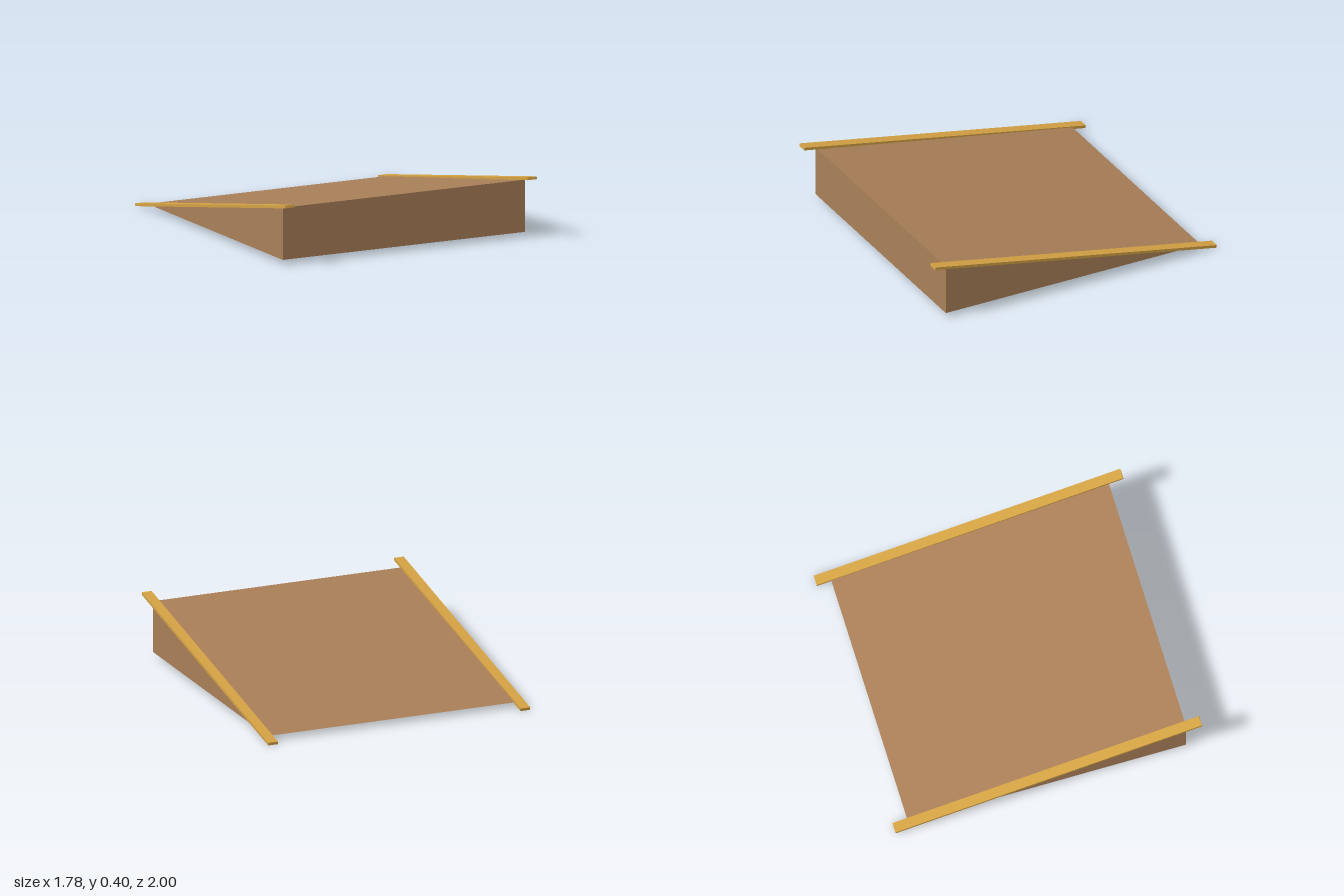
import * as THREE from 'three';

export function createModel() {
  const group = new THREE.Group();
  group.name = 'ramp';

  const wood = new THREE.MeshStandardMaterial({ color: 0xa97f58, flatShading: true });
  wood.name = 'brown wood';
  const trim = new THREE.MeshStandardMaterial({ color: 0xd4a244, flatShading: true });
  trim.name = 'golden trim';

  // Solid wedge: side profile in (z, y), extruded across the width
  const halfWidth = 0.855;
  const profile = new THREE.Shape([
    new THREE.Vector2(-0.905, 0.03),
    new THREE.Vector2(0.905, 0.03),
    new THREE.Vector2(0.905, 0.364),
  ]);
  const wedgeGeometry = new THREE.ExtrudeGeometry(profile, { depth: halfWidth * 2, bevelEnabled: false });
  wedgeGeometry.translate(0, 0, -halfWidth);
  wedgeGeometry.rotateY(-Math.PI / 2); // profile x becomes z
  const wedge = new THREE.Mesh(wedgeGeometry, wood);
  wedge.name = 'wedge';
  group.add(wedge);

  // Edge rails lying along the slope, overhanging both ends
  const railGeometry = new THREE.BoxGeometry(0.065, 0.018, 2.033);
  for (const side of [-1, 1]) {
    const rail = new THREE.Mesh(railGeometry, trim);
    rail.name = side > 0 ? 'leftRail' : 'rightRail';
    rail.position.set(side * 0.8575, 0.2, 0);
    rail.rotation.x = -0.189;
    group.add(rail);
  }

  return group;
}
